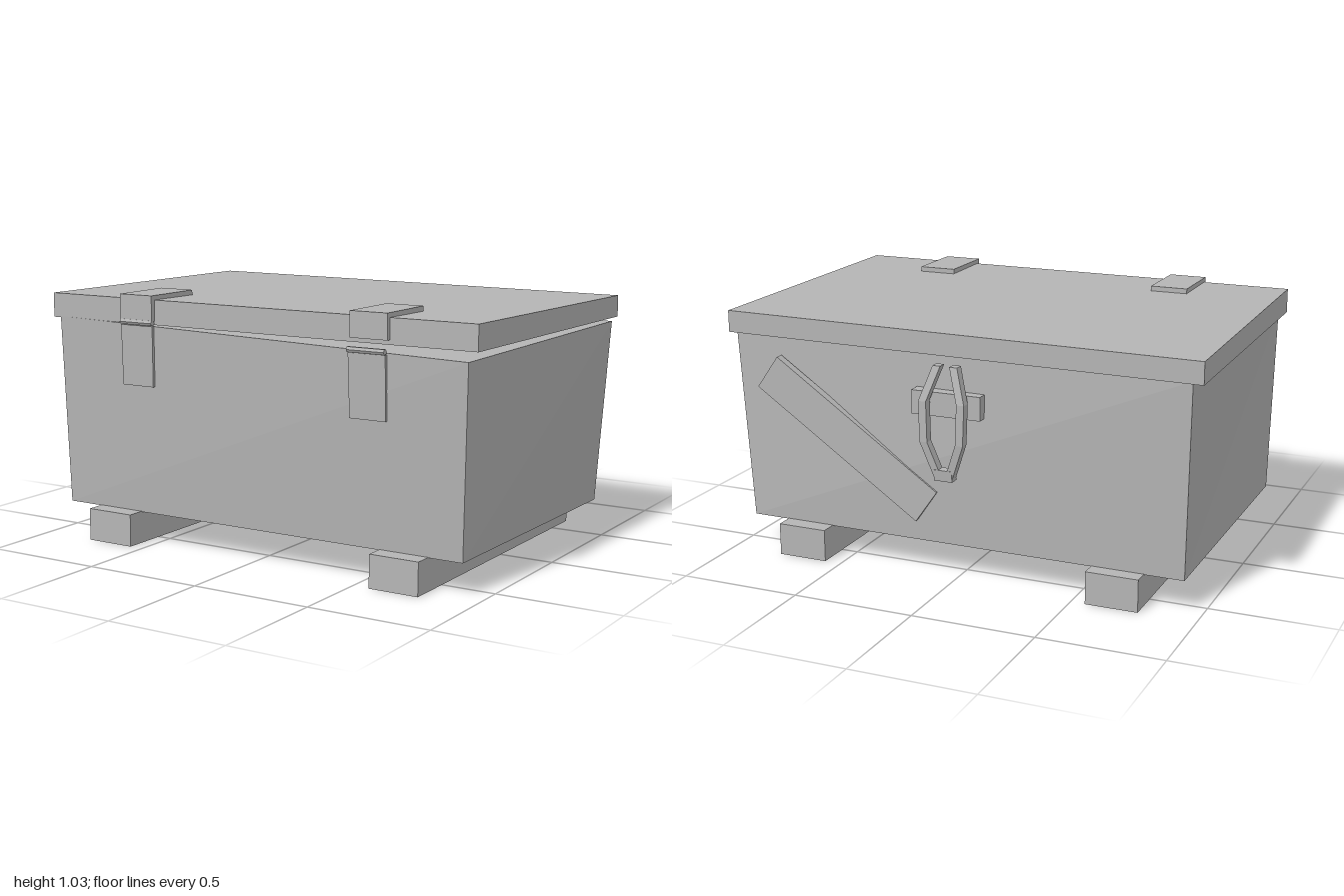
import * as THREE from 'three';

const grey = new THREE.MeshStandardMaterial({ color: 0xb4b4b4, side: THREE.DoubleSide });
grey.name = 'plain grey';

// Six-sided block from two four-corner rings, each ordered
// front -x, front +x, back +x, back -x
function block(name, b, t, { open = false } = {}) {
  const quads = [[t[0], t[1], t[2], t[3]]];
  if (!open) quads.push([b[3], b[2], b[1], b[0]]);
  for (let i = 0; i < 4; i++) {
    const j = (i + 1) % 4;
    quads.push([b[i], b[j], t[j], t[i]]);
  }
  const pos = quads.flatMap(([p, q, r, s]) => [p, q, r, p, r, s]).flat();
  const geo = new THREE.BufferGeometry();
  geo.setAttribute('position', new THREE.Float32BufferAttribute(pos, 3));
  geo.computeVertexNormals();
  const mesh = new THREE.Mesh(geo, grey);
  mesh.name = name;
  return mesh;
}

// Rectangular ring at one height
const ring = (x0, x1, y, zFront, zBack) =>
  [[x0, y, zFront], [x1, y, zFront], [x1, y, zBack], [x0, y, zBack]];

function createLatch(x0, x1, lidDrop, pin, plate) {
  const g = new THREE.Group();
  g.name = 'latch';
  // Strap folded over the lid edge
  g.add(block('strapTop', ring(x0, x1, 1.0, 0.65, 0.38), ring(x0, x1, 1.028, 0.65, 0.38)));
  g.add(block('strapFront', ring(x0, x1, lidDrop, 0.65, 0.625), ring(x0, x1, 1.0, 0.65, 0.625)));
  // Hinge pin
  const knuckle = new THREE.Mesh(new THREE.CylinderGeometry(0.012, 0.012, x1 - x0, 6).toNonIndexed(), grey);
  knuckle.geometry.computeVertexNormals();
  knuckle.name = 'hingePin';
  knuckle.rotation.z = Math.PI / 2;
  knuckle.position.set((x0 + x1) / 2, pin.y, pin.z);
  g.add(knuckle);
  // Hanging plate, following the sloped wall
  const { y0, y1, z0, z1 } = plate;
  g.add(block('hangingPlate', ring(x0, x1 - 0.005, y0, z0, z0 - 0.025), ring(x0, x1, y1, z1, z1 - 0.025)));
  return g;
}

function createHandle() {
  const g = new THREE.Group();
  g.name = 'handle';
  // Cross bar fixed to the back
  g.add(block('handleBar', ring(-0.12, 0.17, 0.67, -0.57, -0.632), ring(-0.12, 0.17, 0.765, -0.57, -0.632)));
  // Two bent strands meeting at the bottom: offset from centre, height, depth
  const path = [[0.02, 0.43, -0.655], [0.075, 0.58, -0.672], [0.08, 0.74, -0.668], [0.035, 0.875, -0.63]];
  for (const side of [-1, 1]) {
    for (let i = 0; i < 3; i++) {
      const rings = [path[i], path[i + 1]].map(([dx, y, z]) => {
        const x = 0.018 + side * dx;
        return ring(x - 0.016, x + 0.016, y, z + 0.018, z - 0.018);
      });
      g.add(block('handleStrand', rings[0], rings[1]));
    }
  }
  g.add(block('handleFoot', ring(-0.02, 0.056, 0.425, -0.635, -0.675), ring(-0.02, 0.056, 0.47, -0.64, -0.68)));
  return g;
}

export function createModel() {
  const model = new THREE.Group();
  model.name = 'chest';

  // Slightly crooked box, widening upwards
  model.add(block('body',
    [[-0.93, 0.13, 0.61], [0.92, 0.13, 0.61], [0.935, 0.13, -0.57], [-0.93, 0.13, -0.58]],
    [[-0.945, 0.915, 0.63], [0.955, 0.875, 0.655], [1.0, 0.897, -0.545], [-0.95, 0.912, -0.615]]));

  // Lid
  const lidPlan = [[-0.98, 0.63], [0.98, 0.63], [1.0, -0.605], [-1.0, -0.648]];
  model.add(block('lid',
    lidPlan.map(([x, z]) => [x, 0.91, z]),
    lidPlan.map(([x, z]) => [x, z > 0 ? 1.01 : 0.998, z])));

  // Hollow runners, open underneath
  for (const [x0, x1] of [[-0.77, -0.558], [0.57, 0.778]]) {
    model.add(block('runner', ring(x0, x1, 0, 0.688, -0.643), ring(x0, x1, 0.132, 0.685, -0.643), { open: true }));
  }

  // Front latches
  model.add(createLatch(-0.612, -0.455, 0.925, { y: 0.918, z: 0.645 }, { y0: 0.66, y1: 0.905, z0: 0.642, z1: 0.648 }));
  model.add(createLatch(0.463, 0.622, 0.928, { y: 0.887, z: 0.665 }, { y0: 0.628, y1: 0.875, z0: 0.652, z1: 0.664 }));

  // Slanted plank across the back
  const plank = new THREE.Mesh(new THREE.BoxGeometry(0.845, 0.16, 0.036), grey);
  plank.name = 'backPlank';
  plank.position.set(0.48, 0.52, -0.583);
  plank.rotation.set(0, 0.022, 0.61);
  model.add(plank);

  model.add(createHandle());
  return model;
}
